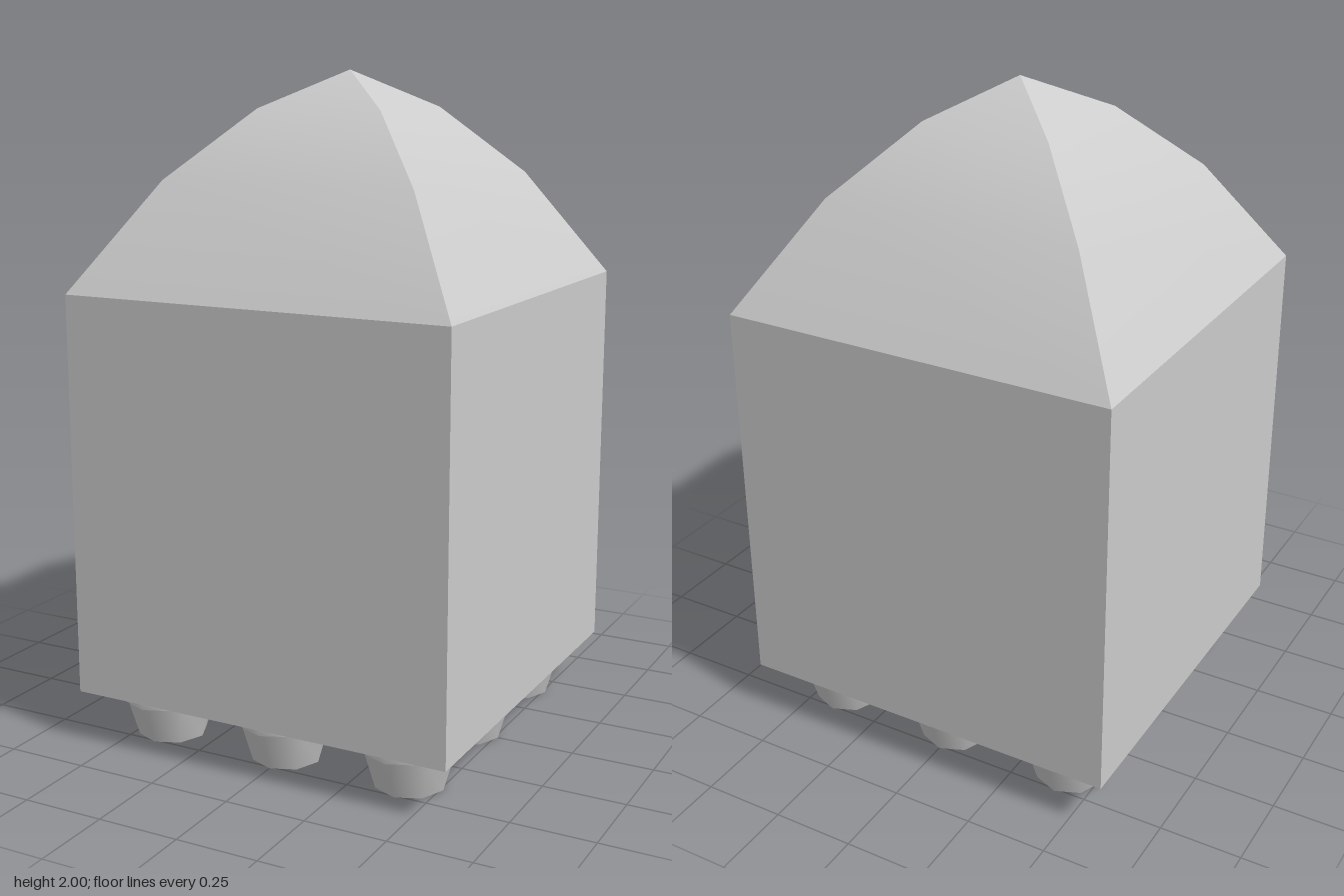
import * as THREE from 'three';
import { toCreasedNormals } from 'three/addons/utils/BufferGeometryUtils.js';

const material = new THREE.MeshStandardMaterial({ color: 0xcccccc });

// Turned shape from [radius, height] pairs, with sharp edges above the crease angle
function turned(profile, sides, start, crease) {
  const points = profile.map(([r, y]) => new THREE.Vector2(r, y));
  return toCreasedNormals(new THREE.LatheGeometry(points, sides, start), crease);
}

export function createModel() {
  const model = new THREE.Group();
  const half = 0.605, base = 0.16, shoulder = 1.37;

  function add(name, geometry, x = 0, y = 0, z = 0) {
    const mesh = new THREE.Mesh(geometry, material);
    mesh.name = name;
    mesh.position.set(x, y, z);
    model.add(mesh);
  }

  // Square hull
  add('hull', new THREE.BoxGeometry(2 * half, shoulder - base, 2 * half), 0, (base + shoulder) / 2, 0);

  // Four-sided domed nose; half-widths become corner radii
  const nose = [[half, shoulder], [0.4, 1.69], [0.2, 1.89], [0, 2]]
    .map(([w, y]) => [w * Math.SQRT2, y]);
  add('noseCap', turned(nose, 4, Math.PI / 4, 0.5));

  // Hollow octagonal nozzle: up the bore's roof, down the bore, out and up to the flange
  const nozzle = turned([
    [0, 0.12], [0.076, 0.12], [0.076, 0], [0.105, 0],
    [0.142, 0.125], [0.165, 0.125], [0.165, base],
  ], 8, 0, 0.9);

  // Three by three grid of engines
  for (const x of [-0.405, 0, 0.405]) {
    for (const z of [-0.405, 0, 0.405]) add('engineNozzle', nozzle, x, 0, z);
  }

  return model;
}
